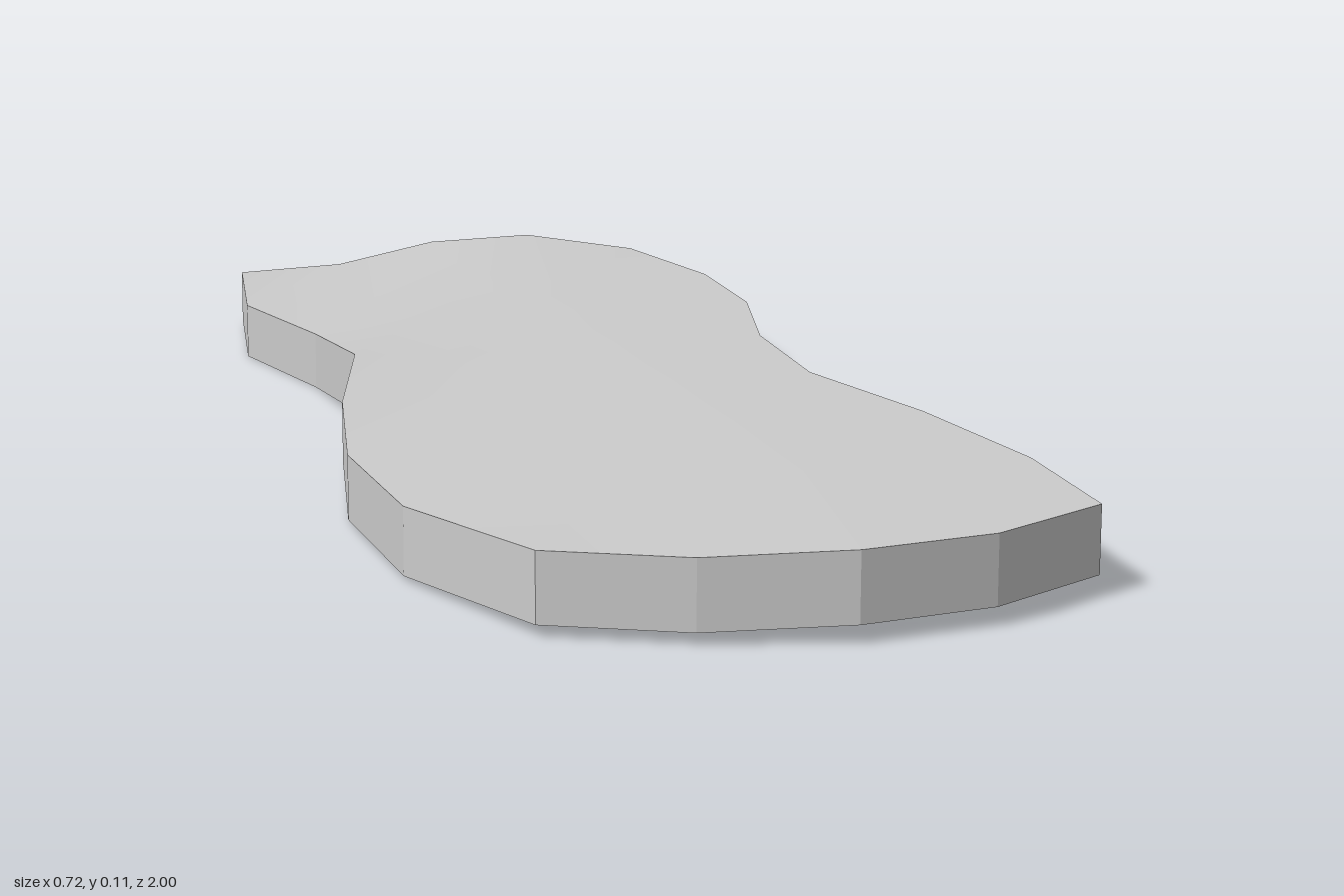
import * as THREE from 'three';

const THICKNESS = 0.073;
// cross-sections from back to front: left edge, right edge, z, underside heights across
const ROWS = [
  { x: [-0.29, 0.31], z: [-0.9, -0.97, -1, -0.99, -0.89], y: [0.01, 0.006, 0.031, 0.038, 0.026] },
  { x: [-0.32, 0.355], z: -0.64, y: [0.003, 0.012, 0.021, 0.022, 0.022] },
  { x: [-0.265, 0.34], z: -0.385, y: [0.003, 0.012, 0.021, 0.022, 0.022] },
  { x: [-0.258, 0.277], z: -0.125, y: [0.021, 0.014, 0.021, 0.022, 0.022] },
  { x: [-0.32, 0.258], z: 0.135, y: [0.013, 0.014, 0.021, 0.022, 0.022] },
  { x: [-0.36, 0.307], z: 0.395, y: [0.006, 0.014, 0.021, 0.022, 0.022] },
  { x: [-0.35, 0.33], z: 0.66, y: [0.008, 0.014, 0.021, 0.022, 0.022] },
  { x: [-0.27, 0.315], z: [0.9, 0.965, 1, 0.97, 0.88], y: [0.015, 0.015, 0.022, 0.022, 0.022] },
];
const COLS = 5;

function surface(points, index) {
  const g = new THREE.BufferGeometry();
  g.setAttribute('position', new THREE.Float32BufferAttribute(points.flat(), 3));
  if (index) g.setIndex(index);
  g.computeVertexNormals();
  return g;
}

export function createModel() {
  const group = new THREE.Group();
  group.name = 'contouredSlab';
  const material = new THREE.MeshStandardMaterial({ color: 0xcccccc });
  const add = (name, geometry) => {
    const mesh = new THREE.Mesh(geometry, material);
    mesh.name = name;
    group.add(mesh);
  };

  // gently warped grid shared by the top and underside
  const lower = ROWS.flatMap(({ x, z, y }) =>
    [x[0], -0.13, 0.02, 0.17, x[1]].map((px, i) => [px, y[i], Array.isArray(z) ? z[i] : z]));
  const upper = lower.map(([x, y, z]) => [x, y + THICKNESS, z]);

  const up = [], down = [];
  for (let r = 0; r < ROWS.length - 1; r++) {
    for (let c = 0; c < COLS - 1; c++) {
      const a = r * COLS + c, b = a + 1, d = a + COLS, e = d + 1;
      up.push(a, d, b, b, d, e);
      down.push(a, b, d, b, e, d);
    }
  }
  add('topSurface', surface(upper, up));
  add('underside', surface(lower, down));

  // rim follows the grid border: back edge, left side, front edge, right side
  const border = [];
  const last = ROWS.length - 1;
  for (let c = 0; c < COLS - 1; c++) border.push(c);
  for (let r = 0; r < last; r++) border.push(r * COLS + COLS - 1);
  for (let c = COLS - 1; c > 0; c--) border.push(last * COLS + c);
  for (let r = last; r > 0; r--) border.push(r * COLS);

  const rim = [];
  border.forEach((i, k) => {
    const j = border[(k + 1) % border.length];
    rim.push(lower[i], upper[i], lower[j], lower[j], upper[i], upper[j]);
  });
  add('rim', surface(rim));
  return group;
}
